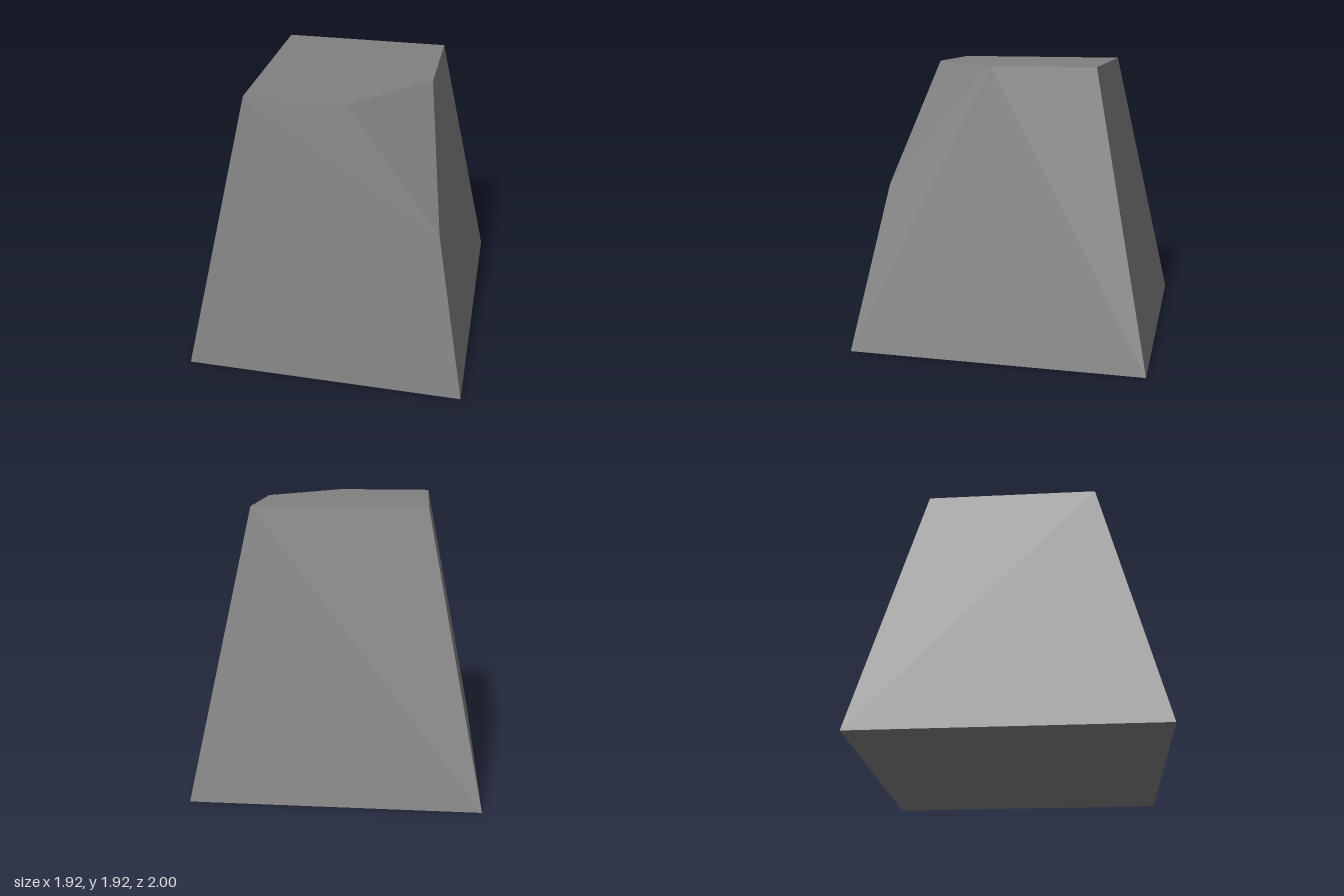
import * as THREE from 'three';
import { ConvexGeometry } from 'three/addons/geometries/ConvexGeometry.js';

export function createModel() {
  const group = new THREE.Group();
  group.name = 'taperedBlock';
  const stone = new THREE.MeshStandardMaterial({ color: 0x808080 });
  stone.name = 'midGrey';

  const height = 1.917;
  const base = { x: 0.962, z: 1 };
  const top = { x: 0.579, z: 0.601 };

  // Point on the front left edge, where the corner cut ends
  const cutY = 1.128;
  const t = cutY / height;
  const cutEnd = new THREE.Vector3(
    THREE.MathUtils.lerp(base.x, top.x, t), cutY, THREE.MathUtils.lerp(base.z, top.z, t));

  // Base and top corners, with the front left top corner cut off
  const points = [cutEnd,
    new THREE.Vector3(0.098, height, top.z),
    new THREE.Vector3(top.x, height, 0.102)];
  for (const sx of [-1, 1]) {
    for (const sz of [-1, 1]) {
      points.push(new THREE.Vector3(sx * base.x, 0, sz * base.z));
      if (sx < 0 || sz < 0) points.push(new THREE.Vector3(sx * top.x, height, sz * top.z));
    }
  }

  const block = new THREE.Mesh(new ConvexGeometry(points), stone);
  block.name = 'chippedBlock';
  group.add(block);
  return group;
}
